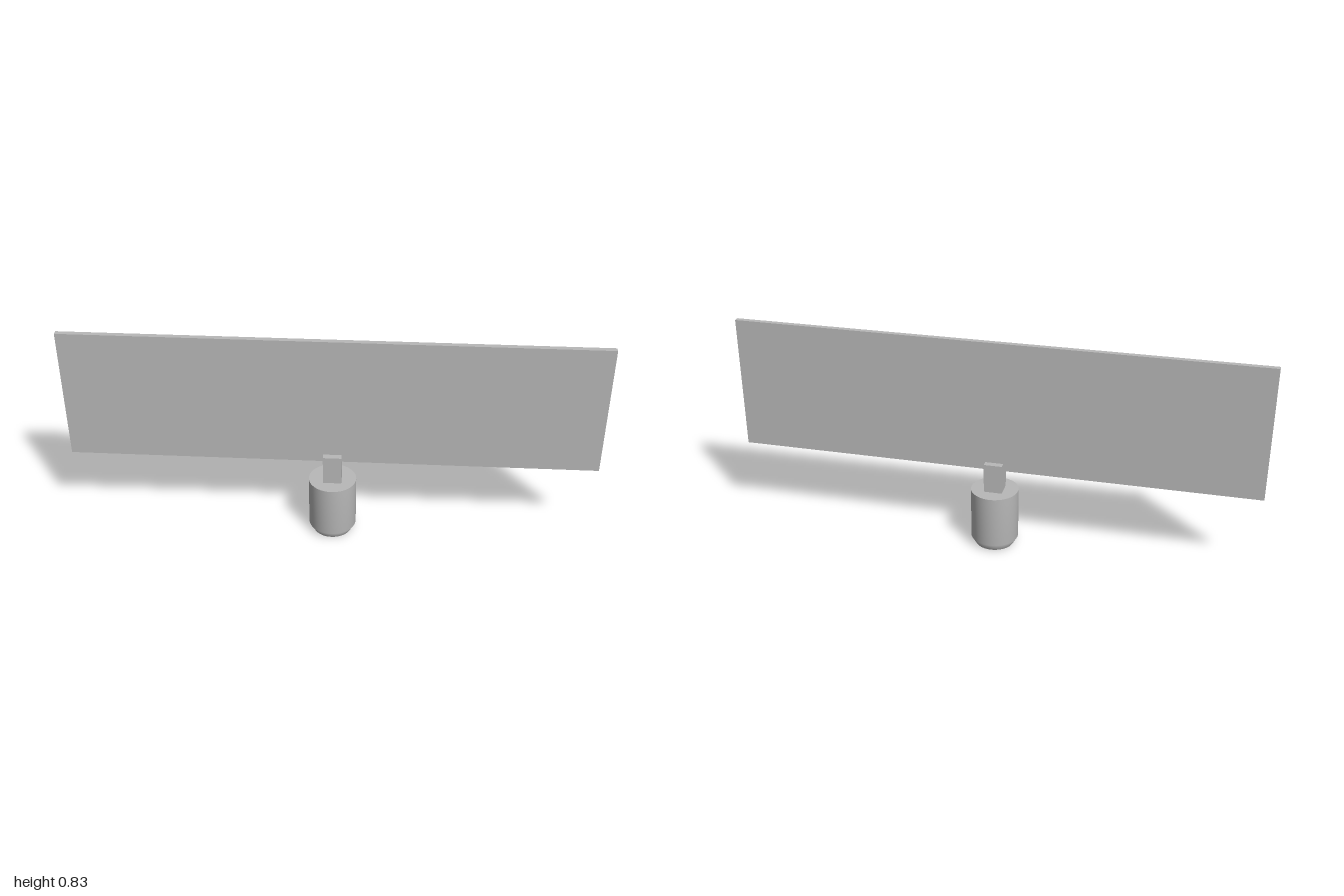
import * as THREE from 'three';

export function createModel() {
  const model = new THREE.Group();
  model.name = 'signOnPost';

  const grey = new THREE.MeshStandardMaterial({ color: 0xb8b8b8 });
  grey.name = 'plainGrey';
  grey.side = THREE.DoubleSide;

  const add = (name, geometry, y) => {
    const mesh = new THREE.Mesh(geometry, grey);
    mesh.name = name;
    mesh.position.y = y;
    model.add(mesh);
    return mesh;
  };

  // Wide thin board
  add('board', new THREE.BoxGeometry(2, 0.515, 0.02), 0.5725);

  // Square stem gripping the lower edge of the board
  add('stem', new THREE.BoxGeometry(0.07, 0.115, 0.068), 0.2875);

  // Hollow cup, tapered at its open lower end
  const profile = [[0.074, 0], [0.091, 0.029], [0.091, 0.23]]
    .map(([r, y]) => new THREE.Vector2(r, y));
  add('cupWall', new THREE.LatheGeometry(profile, 48), 0);

  // Flat lid closing the top of the cup
  const lid = add('cupLid', new THREE.CircleGeometry(0.091, 48), 0.23);
  lid.rotation.x = -Math.PI / 2;

  return model;
}
